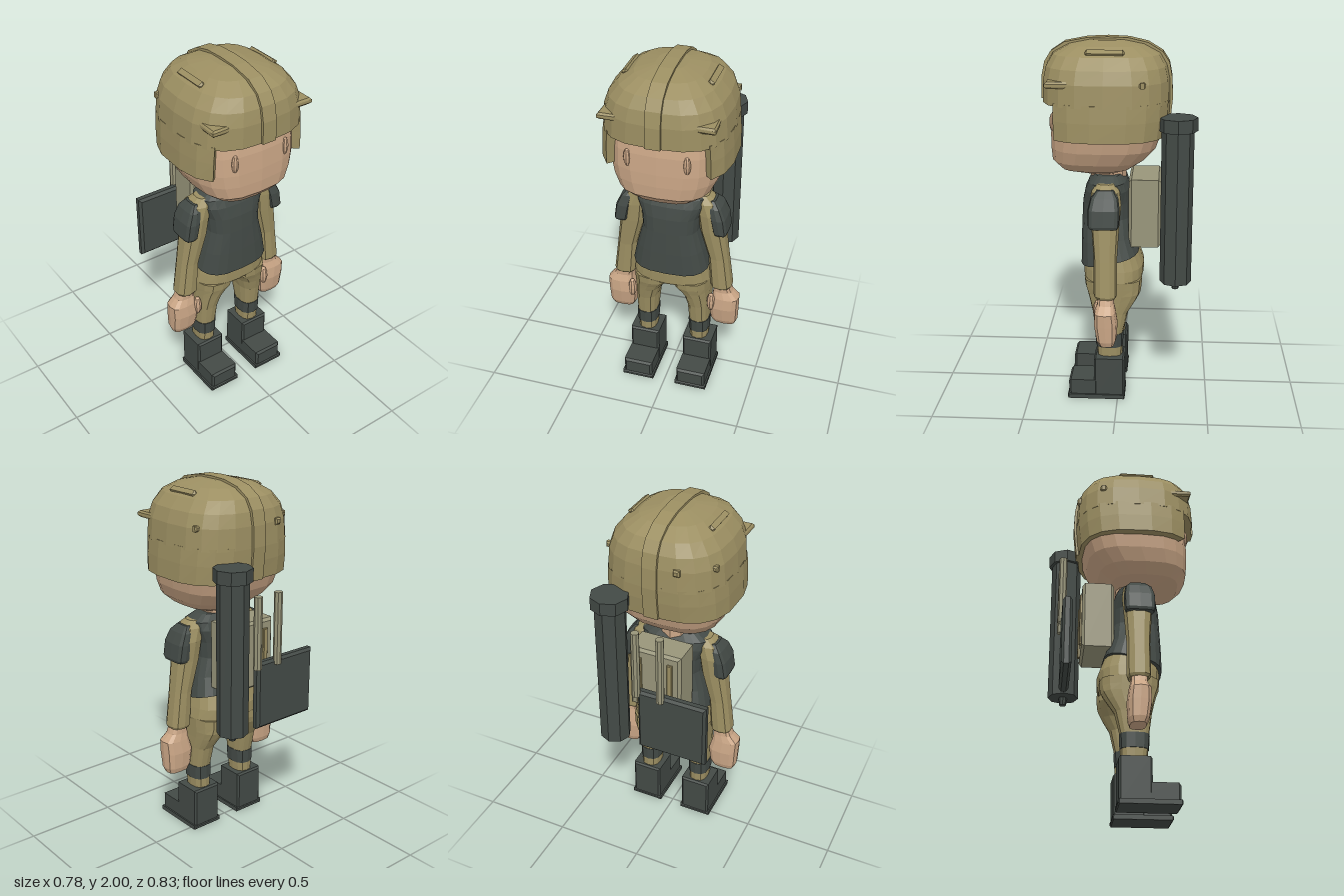
import * as THREE from 'three';

const mat = (name, color) => {
  const m = new THREE.MeshStandardMaterial({ color });
  m.name = name;
  return m;
};

// Horizontal superellipse outline about (cx, z); tilt lifts its back edge
function ring(y, cx, a, zf, zb, { p = 2.6, n = 16, tilt = 0, from = 0, to = Math.PI * 2, scale = 1 } = {}) {
  const cz = (zf + zb) / 2, b = (zf - zb) / 2, pts = [];
  const open = from > 0;
  const pow = v => Math.sign(v) * Math.pow(Math.abs(v), 2 / p);
  for (let i = 0; i < (open ? n + 1 : n); i++) {
    const t = from + (to - from) * i / n;
    const x = pow(Math.sin(t)) * scale, z = pow(Math.cos(t)) * scale;
    pts.push(new THREE.Vector3(cx + a * x, y + tilt * (1 - z) / 2, cz + b * z));
  }
  return pts;
}

// Skin stacked outlines from bottom to top and close both ends
function loft(rings) {
  const n = rings[0].length, pos = [], idx = [];
  rings.forEach(r => r.forEach(v => pos.push(v.x, v.y, v.z)));
  for (let r = 0; r < rings.length - 1; r++) {
    for (let i = 0; i < n; i++) {
      const j = (i + 1) % n, a = r * n + i, b = r * n + j;
      idx.push(a, b, b + n, a, b + n, a + n);
    }
  }
  const cap = r => THREE.ShapeUtils.triangulateShape(rings[r].map(v => new THREE.Vector2(v.x, -v.z)), []);
  const top = (rings.length - 1) * n;
  cap(0).forEach(f => idx.push(f[2], f[1], f[0]));
  cap(rings.length - 1).forEach(f => idx.push(top + f[0], top + f[1], top + f[2]));
  const g = new THREE.BufferGeometry();
  g.setAttribute('position', new THREE.Float32BufferAttribute(pos, 3));
  g.setIndex(idx);
  return g;
}

// Box with chamfered edges, centred on the origin
function chamferBox(w, h, d, c) {
  const x = w / 2 - c, y = h / 2 - c;
  const s = new THREE.Shape([[-x, -y], [x, -y], [x, y], [-x, y]].map(q => new THREE.Vector2(...q)));
  const g = new THREE.ExtrudeGeometry(s, { depth: d - 2 * c, bevelSize: c, bevelThickness: c, bevelSegments: 1 });
  return g.translate(0, 0, c - d / 2);
}

export function createModel() {
  const model = new THREE.Group();
  model.name = 'soldier';
  const khaki = mat('khaki cloth', 0x9c8f62);
  const dark = mat('dark gear', 0x434a46);
  const skin = mat('skin', 0xcaa686);
  const canvas = mat('grey canvas', 0x98957a);

  // Every part gets faceted normals
  const add = (name, geo, material, x = 0, y = 0, z = 0) => {
    const g = geo.index ? geo.toNonIndexed() : geo;
    g.computeVertexNormals();
    const m = new THREE.Mesh(g, material);
    m.name = name;
    m.position.set(x, y, z);
    model.add(m);
    return m;
  };
  const rows = (list, opt) => loft(list.map(r => ring(...r, opt)));

  // Head and neck
  add('head', rows([
    [1.28, 0, 0.11, 0.2, 0], [1.31, 0, 0.19, 0.315, -0.07], [1.36, 0, 0.25, 0.36, -0.14],
    [1.43, 0, 0.285, 0.365, -0.205], [1.5, 0, 0.3, 0.365, -0.23], [1.6, 0, 0.3, 0.36, -0.235],
    [1.72, 0, 0.29, 0.34, -0.23]], { p: 3, n: 20 }), skin);
  add('neck', new THREE.CylinderGeometry(0.095, 0.1, 0.14, 10), skin, 0, 1.25, 0.06);

  // Helmet: dome, side and back guard, centre strip
  add('helmetDome', rows([
    [1.675, 0, 0.335, 0.405, -0.272], [1.79, 0, 0.325, 0.402, -0.268], [1.86, 0, 0.3, 0.387, -0.253],
    [1.92, 0, 0.25, 0.352, -0.218], [1.965, 0, 0.18, 0.267, -0.133], [1.987, 0, 0.08, 0.157, -0.023]],
  { p: 2.8, n: 20 }), khaki);
  const guard = [[1.5, 0, 0.345, 0.4, -0.255], [1.6, 0, 0.342, 0.405, -0.268], [1.69, 0, 0.334, 0.405, -0.272]];
  const arc = { p: 2.8, n: 14, from: 0.8, to: Math.PI * 2 - 0.8 };
  add('helmetGuard', loft(guard.map(r =>
    [...ring(...r, arc), ...ring(...r, { ...arc, scale: 0.86 }).reverse()])), khaki);
  const arch = [[0.415, 1.675], [0.413, 1.79], [0.396, 1.87], [0.362, 1.925], [0.29, 1.972], [0.17, 1.995], [0.06, 2],
    [-0.05, 1.995], [-0.15, 1.972], [-0.228, 1.925], [-0.264, 1.87], [-0.279, 1.79], [-0.283, 1.68], [-0.266, 1.5]];
  const inner = arch.map(([z, y]) => [0.067 + (z - 0.067) * 0.9, y < 1.7 ? y : 1.69 + (y - 1.69) * 0.85]).reverse();
  const strip = new THREE.ExtrudeGeometry(
    new THREE.Shape([...arch, ...inner].map(q => new THREE.Vector2(...q))), { depth: 0.08, bevelEnabled: false });
  add('helmetStrip', strip.rotateY(-Math.PI / 2).translate(0.04, 0, 0), khaki);
  add('helmetStud', chamferBox(0.035, 0.035, 0.03, 0.008), khaki, -0.14, 1.79, -0.255);

  for (const s of [1, -1]) {
    // Helmet fittings
    const horn = new THREE.Shape([[0.29, -0.355], [0.29, -0.24], [0.16, -0.355]].map(([x, y]) => new THREE.Vector2(s * x, y)));
    add('helmetClip', new THREE.ExtrudeGeometry(horn,
      { depth: 0.015, bevelSize: 0.01, bevelThickness: 0.01, bevelSegments: 1 }).rotateX(-Math.PI / 2), khaki, 0, 1.78, 0);
    add('helmetRidge', chamferBox(0.03, 0.02, 0.2, 0.009), khaki, s * 0.22, 1.94, 0.065).rotation.z = -s * 0.6;
    add('helmetSideStud', chamferBox(0.03, 0.03, 0.035, 0.008), khaki, s * 0.292, 1.79, -0.13);

    // Eye
    add('eye', new THREE.SphereGeometry(1, 8, 6).scale(0.02, 0.05, 0.016), skin, s * 0.155, 1.57, 0.345);

    // Sleeve, shoulder pad and hand
    add('sleeve', rows([
      [0.64, s * 0.285, 0.054, 0.115, 0.005], [0.655, s * 0.285, 0.062, 0.125, -0.002], [0.85, s * 0.265, 0.056, 0.125, 0],
      [1.03, s * 0.228, 0.07, 0.14, -0.01], [1.14, s * 0.215, 0.07, 0.148, -0.02],
      [1.21, s * 0.19, 0.065, 0.14, -0.01], [1.245, s * 0.165, 0.04, 0.11, 0.02]], { n: 10 }), khaki);
    add('shoulderPad', rows([
      [1.03, s * 0.28, 0.035, 0.147, -0.005], [1.045, s * 0.28, 0.04, 0.155, -0.012], [1.13, s * 0.265, 0.043, 0.155, -0.014],
      [1.19, s * 0.245, 0.035, 0.14, -0.005], [1.225, s * 0.225, 0.02, 0.11, 0.02]], { n: 12, p: 4 }), dark);
    add('hand', rows([
      [0.38, s * 0.308, 0.065, 0.095, 0.01], [0.41, s * 0.306, 0.078, 0.11, 0], [0.5, s * 0.302, 0.086, 0.125, -0.005],
      [0.57, s * 0.312, 0.078, 0.12, 0.005], [0.61, s * 0.295, 0.056, 0.105, 0.015],
      [0.66, s * 0.285, 0.045, 0.105, 0.018]], { n: 12, p: 3 }), skin);
    add('thumb', new THREE.SphereGeometry(1, 8, 6).scale(0.024, 0.06, 0.025), skin, s * 0.235, 0.54, 0.11);

    // Trouser leg, dark band, cuff
    add('trouserLeg', rows([
      [0.37, s * 0.157, 0.058, 0.125, -0.025], [0.5, s * 0.153, 0.065, 0.143, -0.055], [0.57, s * 0.142, 0.077, 0.16, -0.1],
      [0.61, s * 0.128, 0.093, 0.172, -0.122], [0.645, s * 0.112, 0.111, 0.185, -0.128],
      [0.69, s * 0.11, 0.115, 0.19, -0.13]], { n: 14 }), khaki);
    add('legBand', rows([[0.3, s * 0.157, 0.06, 0.125, -0.027], [0.38, s * 0.157, 0.062, 0.13, -0.03]], { n: 12 }), dark);
    add('trouserCuff', rows([[0.22, s * 0.157, 0.052, 0.115, -0.022], [0.3, s * 0.157, 0.055, 0.12, -0.024]], { n: 12 }), khaki);

    // Boot
    add('bootShaft', chamferBox(0.172, 0.23, 0.17, 0.01), dark, s * 0.16, 0.13, 0.047);
    add('bootToe', chamferBox(0.17, 0.1, 0.3, 0.012), dark, s * 0.16, 0.062, 0.124);
    add('bootSole', chamferBox(0.188, 0.025, 0.322, 0.006), dark, s * 0.16, 0.0125, 0.12);
  }

  // Jacket hem and vest
  add('jacketHem', rows([
    [0.675, 0, 0.222, 0.188, -0.125], [0.69, 0, 0.228, 0.197, -0.135], [0.75, 0, 0.216, 0.2, -0.138],
    [0.84, 0, 0.195, 0.185, -0.105]], { n: 20 }), khaki);
  const vest = [
    [0.765, 0, 0.22, 0.212, -0.112, 0.07], [0.9, 0, 0.192, 0.21, -0.075, 0.03], [1.03, 0, 0.158, 0.205, -0.062, 0],
    [1.12, 0, 0.165, 0.2, -0.062, 0], [1.19, 0, 0.195, 0.185, -0.055, 0], [1.235, 0, 0.195, 0.165, -0.04, 0],
    [1.27, 0, 0.135, 0.13, -0.01, 0]];
  add('vest', loft(vest.map(r => ring(...r.slice(0, 5), { p: 3, n: 20, tilt: r[5] }))), dark);

  // Backpack with flap and slats
  add('backpack', chamferBox(0.3, 0.38, 0.175, 0.015), canvas, 0, 1.07, -0.143);
  for (const x of [-0.09, 0.09]) add('packStrap', chamferBox(0.03, 0.3, 0.02, 0.004), khaki, x, 1.06, -0.232);

  // Launch tube with cap and knob
  add('tubeBody', new THREE.CylinderGeometry(0.085, 0.085, 0.84, 8), dark, 0.205, 1.13, -0.313);
  add('tubeCap', new THREE.CylinderGeometry(0.103, 0.103, 0.07, 8), dark, 0.205, 1.58, -0.313);
  add('tubeKnob', new THREE.CylinderGeometry(0.025, 0.018, 0.05, 8), dark, 0.205, 0.692, -0.313);

  // Carried panel and rods
  add('panel', chamferBox(0.395, 0.38, 0.054, 0.014), dark, -0.147, 0.88, -0.315);
  for (const x of [-0.085, 0.055]) {
    add('rod', new THREE.CylinderGeometry(0.023, 0.023, 0.4, 8), canvas, x, 1.24, -0.338);
  }
  return model;
}
